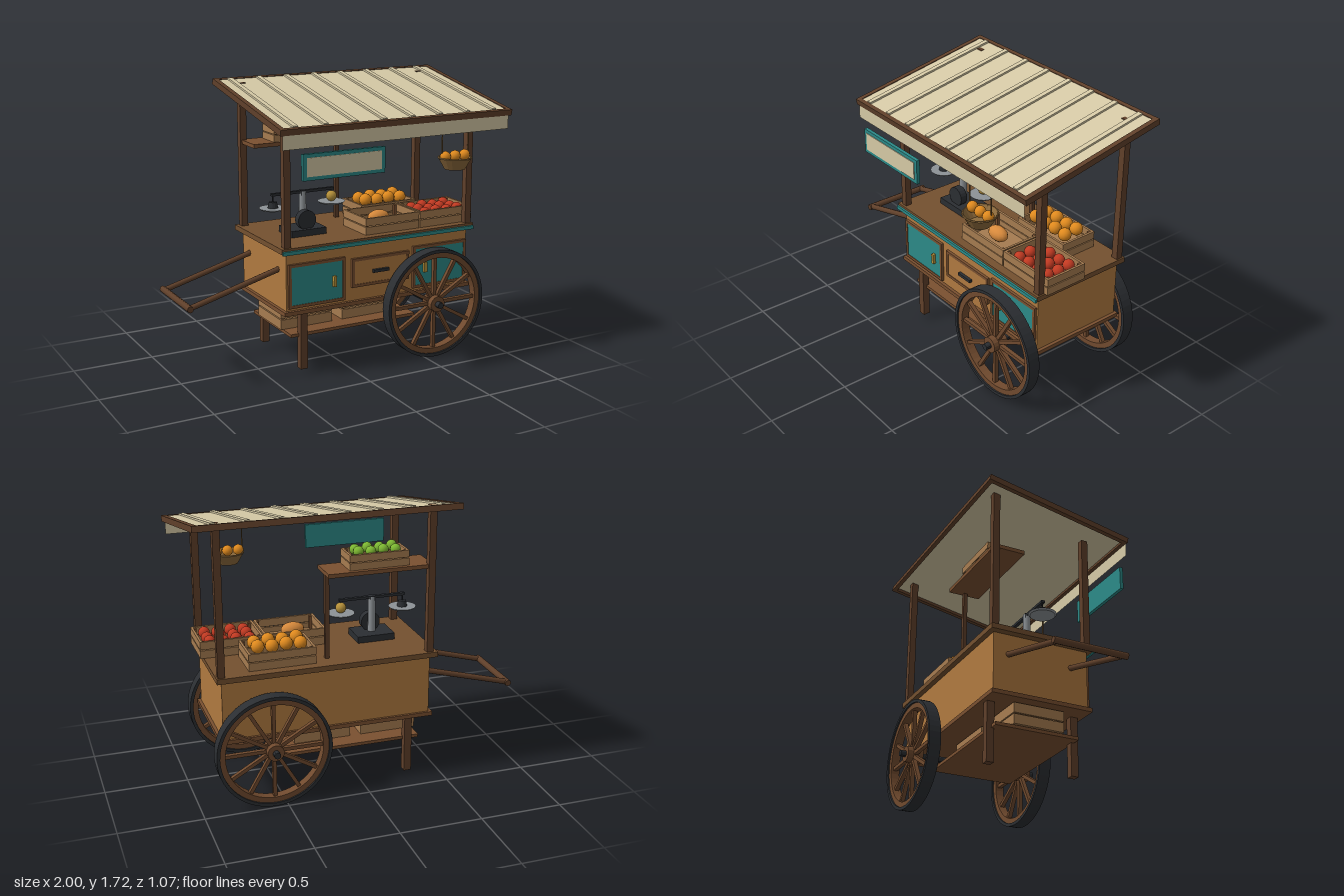
import * as THREE from 'three';

const mat = (color, extra = {}) => new THREE.MeshStandardMaterial({ color, ...extra });
const M = {
  body: mat(0xb07a40), trim: mat(0x7a5030), dark: mat(0x60402a), counter: mat(0x74502f),
  crate: mat(0xa67c50), teal: mat(0x2c8a88), cream: mat(0xd6caa6, { side: THREE.DoubleSide }),
  iron: mat(0x2b2e32, { flatShading: true }), steel: mat(0x8d9296), gold: mat(0xb8923a),
  rim: mat(0x704a2e, { flatShading: true }), orange: mat(0xe08a1e), red: mat(0xc23a22),
  green: mat(0x7db832), melon: mat(0xd88a3c), wicker: mat(0x8c6a3c, { side: THREE.DoubleSide, flatShading: true }),
};
const CZ = -0.075; // centre line of the cart in z

export function createModel() {
  const root = new THREE.Group();
  root.name = 'fruitCart';

  const add = (name, geo, m, x, y, z, parent = root) => {
    const mesh = new THREE.Mesh(geo, m);
    mesh.name = name;
    mesh.position.set(x, y, z);
    parent.add(mesh);
    return mesh;
  };
  const box = (name, m, w, h, d, x, y, z, parent) =>
    add(name, new THREE.BoxGeometry(w, h, d), m, x, y, z, parent);
  // box given by its lower and upper limits
  const span = (name, m, x0, x1, y0, y1, z0, z1, parent) =>
    box(name, m, x1 - x0, y1 - y0, z1 - z0, (x0 + x1) / 2, (y0 + y1) / 2, (z0 + z1) / 2, parent);
  const ball = (name, m, r, x, y, z, parent) =>
    add(name, new THREE.SphereGeometry(r, 14, 10), m, x, y, z, parent);
  const rod = (name, m, r, a, b, sides = 8) => {
    const p = new THREE.Vector3(...a), d = new THREE.Vector3(...b).sub(p);
    const mesh = add(name, new THREE.CylinderGeometry(r, r, d.length(), sides), m, 0, 0, 0);
    mesh.position.copy(p).addScaledVector(d, 0.5);
    mesh.quaternion.setFromUnitVectors(new THREE.Vector3(0, 1, 0), d.normalize());
    return mesh;
  };
  const group = (name, x, y, z) => {
    const g = new THREE.Group();
    g.name = name;
    g.position.set(x, y, z);
    root.add(g);
    return g;
  };

  // Cabinet, counter and base
  span('cabinet', M.body, -0.415, 0.85, 0.42, 0.775, -0.38, 0.225);
  span('baseTrim', M.trim, -0.435, 0.87, 0.395, 0.42, -0.395, 0.245);
  span('counter', M.counter, -0.455, 0.88, 0.778, 0.81, -0.41, 0.257);
  span('counterStrip', M.teal, -0.452, 0.877, 0.773, 0.795, 0.257, 0.27);

  // Framed fronts: two doors and a drawer
  const front = (name, m, x0, x1, y0, y1) => {
    const t = 0.018;
    span(name + 'Panel', m, x0 + t, x1 - t, y0 + t, y1 - t, 0.225, 0.238);
    for (const y of [y0, y1 - t]) span(name + 'Rail', M.trim, x0, x1, y, y + t, 0.225, 0.242);
    for (const x of [x0, x1 - t]) span(name + 'Stile', M.trim, x, x + t, y0, y1, 0.225, 0.242);
  };
  front('leftDoor', M.teal, -0.405, -0.028, 0.437, 0.705);
  front('drawer', M.body, 0.02, 0.42, 0.505, 0.685);
  front('rightDoor', M.teal, 0.45, 0.84, 0.437, 0.705);
  box('doorHandle', M.gold, 0.02, 0.065, 0.022, -0.103, 0.567, 0.246);
  box('doorHandle', M.gold, 0.02, 0.065, 0.022, 0.535, 0.567, 0.246);
  box('drawerPull', M.iron, 0.11, 0.018, 0.022, 0.215, 0.593, 0.246);

  // Legs and lower shelf
  for (const z of [0.19, -0.345]) box('leg', M.dark, 0.046, 0.36, 0.046, -0.292, 0.215, z);
  span('lowerShelf', M.trim, -0.368, 0.5, 0.236, 0.256, -0.34, 0.187);

  // Push handle
  for (const z of [0.118, -0.285]) rod('handleArm', M.dark, 0.018, [-0.4, 0.657, z], [-0.98, 0.497, z]);
  rod('handleBar', M.dark, 0.02, [-0.98, 0.497, -0.312], [-0.98, 0.497, 0.14]);

  // Wheels and axle
  const ring = (ro, ri, depth) => {
    const s = new THREE.Shape().absarc(0, 0, ro, 0, Math.PI * 2);
    s.holes.push(new THREE.Path().absarc(0, 0, ri, 0, Math.PI * 2, true));
    return new THREE.ExtrudeGeometry(s, { depth, bevelEnabled: false, curveSegments: 28 })
      .translate(0, 0, -depth / 2);
  };
  const tyre = ring(0.345, 0.325, 0.075), rim = ring(0.328, 0.292, 0.055);
  const hub = new THREE.CylinderGeometry(0.05, 0.05, 0.1, 14).rotateX(Math.PI / 2);
  const spoke = new THREE.BoxGeometry(0.022, 0.265, 0.026).translate(0, 0.17, 0);
  for (const side of [1, -1]) {
    const w = group('wheel', 0.57, 0.345, CZ + side * 0.37);
    add('tyre', tyre, M.iron, 0, 0, 0, w);
    add('rim', rim, M.rim, 0, 0, 0, w);
    add('hub', hub, M.rim, 0, 0, 0, w);
    for (let i = 0; i < 12; i++) add('spoke', spoke, M.rim, 0, 0, 0, w).rotation.z = i * Math.PI / 6;
  }
  rod('axle', M.iron, 0.02, [0.57, 0.345, -0.53], [0.57, 0.345, 0.38], 10);

  // Roof posts
  for (const x of [-0.411, 0.85]) {
    span('frontPost', M.dark, x - 0.021, x + 0.021, 0.81, 1.525, 0.2, 0.242);
    span('backPost', M.dark, x - 0.021, x + 0.021, 0.81, 1.7, -0.396, -0.354);
  }

  // Sloping roof with battens and frame
  const roof = group('roof', 0.22, 1.612, -0.01);
  roof.rotation.x = 0.186;
  box('roofSheet', M.cream, 1.53, 0.012, 0.93, 0, 0.012, 0, roof);
  for (const s of [1, -1]) {
    box('sideBeam', M.dark, 0.03, 0.036, 0.955, s * 0.76, 0.004, 0, roof);
    box('endBeam', M.dark, 1.55, 0.036, 0.026, 0, 0.004, s * 0.464, roof);
  }
  for (let i = 0; i < 8; i++)
    box('batten', M.cream, 0.03, 0.014, 0.9, -0.672 + i * 0.19, 0.022, 0, roof);
  add('valance', new THREE.PlaneGeometry(1.515, 0.085), M.cream, 0.218, 1.472, 0.452);

  // Slatted crate: x, z are its centre and y its underside
  const crate = (name, x, y, z, w, h, d) => {
    const g = group(name, x, y, z), t = 0.014, ph = h * 0.47;
    box('crateFloor', M.crate, w - t, 0.012, d - t, 0, 0.008, 0, g);
    for (const py of [ph / 2, h - ph / 2]) for (const s of [1, -1]) {
      box('longSlat', M.crate, w, ph, t, 0, py, s * (d - t) / 2, g);
      box('endSlat', M.crate, t, ph, d - 2 * t, s * (w - t) / 2, py, 0, g);
    }
    for (const sx of [1, -1]) for (const sz of [1, -1])
      box('cratePost', M.trim, 0.018, h - 0.01, 0.018, sx * (w / 2 - 0.022), h / 2, sz * (d / 2 - 0.022), g);
    return g;
  };
  const fill = (g, name, m, r, cols, rows, dx, dz, y) => {
    for (let i = 0; i < cols; i++) for (let j = 0; j < rows; j++)
      ball(name, m, r, (i - (cols - 1) / 2) * dx, y + ((i + j) % 2) * 0.006, (j - (rows - 1) / 2) * dz, g);
  };
  fill(crate('tomatoCrate', 0.71, 0.81, 0.066, 0.38, 0.102, 0.276), 'tomato', M.red, 0.035, 4, 3, 0.08, 0.078, 0.075);
  fill(crate('orangeCrate', 0.48, 0.81, -0.228, 0.4, 0.102, 0.245), 'orange', M.orange, 0.04, 4, 2, 0.085, 0.09, 0.11);
  const melonCrate = crate('melonCrate', 0.322, 0.81, 0.066, 0.38, 0.102, 0.276);
  ball('melon', M.melon, 0.046, -0.02, 0.065, 0, melonCrate).scale.set(1.6, 1, 1);
  fill(crate('appleCrate', -0.1, 1.35, -0.278, 0.36, 0.09, 0.165), 'apple', M.green, 0.031, 4, 2, 0.075, 0.066, 0.09);
  for (const x of [-0.208, 0.21]) {
    const g = crate('lowerCrate', x, 0.258, CZ, 0.35, 0.127, 0.32);
    if (x > 0) ball('melon', M.melon, 0.05, 0.05, 0.083, 0, g).scale.set(1.5, 1, 1);
  }

  // Raised shelf on its own post
  span('shelfPost', M.dark, 0.184, 0.21, 0.81, 1.326, -0.3, -0.275);
  span('raisedShelf', M.trim, -0.42, 0.216, 1.326, 1.35, -0.387, -0.185);

  // Balance scale
  const scale = group('balanceScale', -0.17, 0.81, -0.04);
  box('scaleBase', M.iron, 0.235, 0.04, 0.18, 0, 0.02, 0, scale);
  add('scaleColumn', new THREE.CylinderGeometry(0.022, 0.024, 0.24, 12), M.steel, 0, 0.14, 0, scale);
  add('scaleDial', new THREE.CylinderGeometry(0.06, 0.06, 0.045, 20).rotateX(Math.PI / 2), M.iron, 0, 0.09, 0.04, scale);
  box('scaleBeam', M.iron, 0.42, 0.016, 0.022, 0, 0.256, 0, scale);
  box('scalePivot', M.iron, 0.03, 0.03, 0.035, 0, 0.25, 0, scale);
  for (const x of [-0.198, 0.198]) {
    add('scalePan', new THREE.CylinderGeometry(0.085, 0.075, 0.01, 20), M.steel, x, 0.172, 0, scale);
    box('panHanger', M.iron, 0.007, 0.085, 0.007, x, 0.215, 0, scale);
  }
  add('weight', new THREE.CylinderGeometry(0.024, 0.032, 0.036, 12), M.iron, -0.198, 0.195, 0, scale);
  ball('weighedFruit', M.gold, 0.033, 0.198, 0.208, 0, scale);

  // Sign board, left blank
  span('signBoard', M.teal, -0.435, 0.09, 1.255, 1.405, 0.468, 0.49);
  span('signPanel', M.cream, -0.412, 0.066, 1.277, 1.384, 0.488, 0.494);

  // Hanging basket
  const profile = [[0, 0], [0.062, 0], [0.1, 0.068], [0.092, 0.068], [0.058, 0.012], [0, 0.012]];
  const basket = group('hangingBasket', 0.602, 1.217, 0.44);
  add('basketBowl', new THREE.LatheGeometry(profile.map(p => new THREE.Vector2(...p)), 16), M.wicker, 0, 0, 0, basket);
  add('basketRim', new THREE.TorusGeometry(0.097, 0.006, 6, 20).rotateX(Math.PI / 2), M.wicker, 0, 0.068, 0, basket);
  for (const x of [-0.092, 0.092]) box('cord', M.wicker, 0.006, 0.18, 0.006, x, 0.155, 0, basket);
  for (const x of [-0.068, 0, 0.068]) ball('orange', M.orange, 0.033, x, 0.078, 0, basket);

  return root;
}
